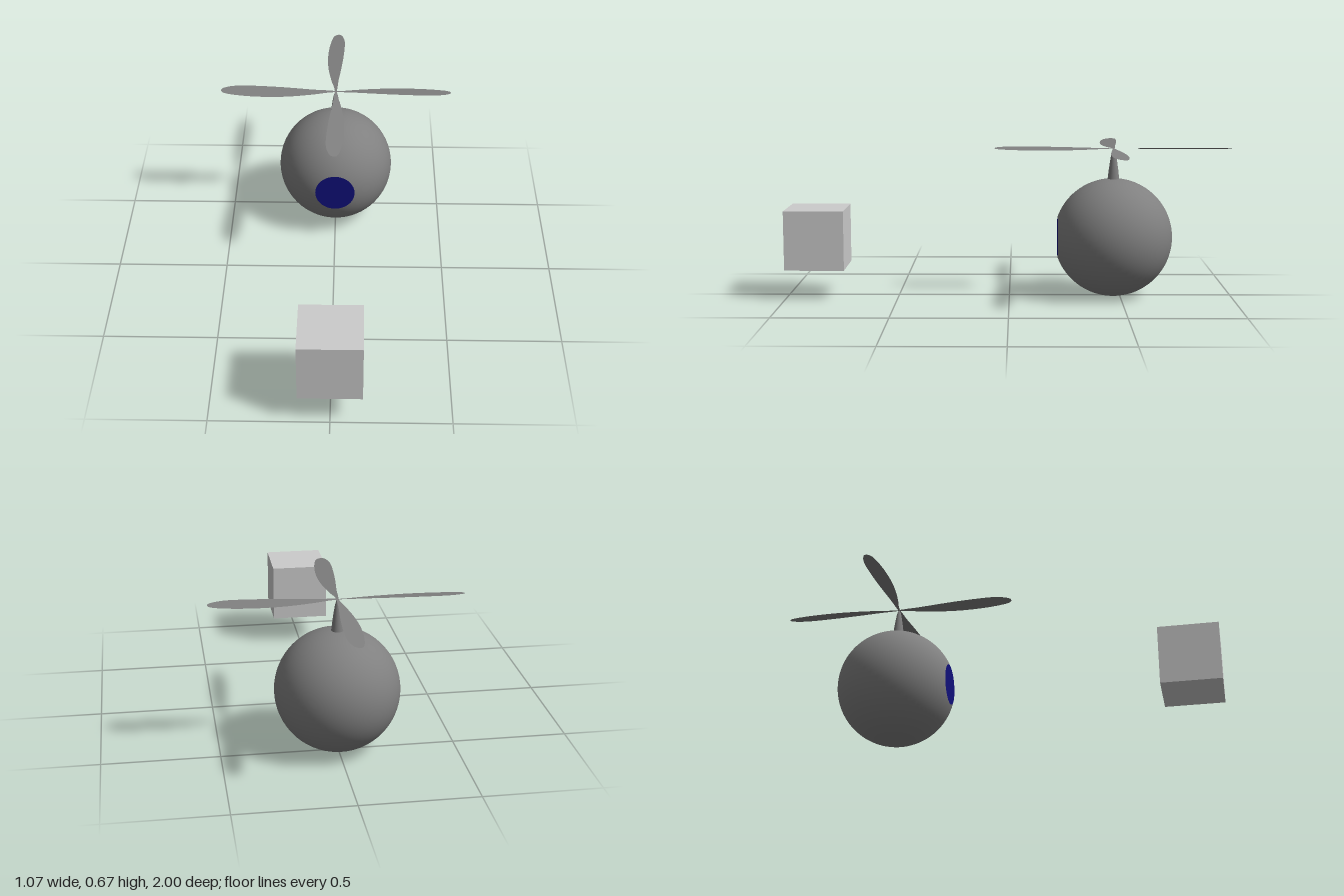
import * as THREE from 'three';

export function createModel() {
  const model = new THREE.Group();
  const R = 0.266, CY = 0.267, CZ = -0.467, EYE_R = 0.092;
  const grey = new THREE.MeshStandardMaterial({ color: 0x808080 });
  const greyThin = new THREE.MeshStandardMaterial({ color: 0x808080, side: THREE.DoubleSide });
  const navy = new THREE.MeshStandardMaterial({ color: 0x10107a });
  const light = new THREE.MeshStandardMaterial({ color: 0xcccccc });

  const add = (parent, name, geometry, material, x = 0, y = 0, z = 0) => {
    const mesh = new THREE.Mesh(geometry, material);
    mesh.name = name;
    mesh.position.set(x, y, z);
    parent.add(mesh);
    return mesh;
  };

  // Round body, sliced flat at the front
  const cut = Math.asin(EYE_R / R);
  const ball = new THREE.SphereGeometry(R, 64, 48, 0, Math.PI * 2, cut, Math.PI - cut);
  ball.rotateX(Math.PI / 2);
  add(model, 'body', ball, grey, 0, CY, CZ);

  // Flat eye closing the slice
  add(model, 'eye', new THREE.CircleGeometry(EYE_R, 64), navy, 0, CY, CZ + R * Math.cos(cut));

  // Tapered mast with a rounded tip
  const mastProfile = [
    [0.027, 0.525], [0.025, 0.54], [0.021, 0.575], [0.016, 0.61],
    [0.011, 0.64], [0.006, 0.66], [0.003, 0.666], [0, 0.668],
  ].map(([r, y]) => new THREE.Vector2(r, y));
  add(model, 'mast', new THREE.LatheGeometry(mastProfile, 32), grey, 0, 0, CZ);

  // Four pitched paddle blades
  const outline = new THREE.Shape();
  outline.moveTo(0, -0.004);
  outline.splineThru([
    [0.04, -0.009], [0.1, -0.022], [0.2, -0.037], [0.3, -0.043], [0.4, -0.039],
    [0.48, -0.028], [0.523, -0.015], [0.534, 0.003], [0.523, 0.02], [0.48, 0.034],
    [0.42, 0.038], [0.3, 0.032], [0.2, 0.023], [0.1, 0.012], [0.04, 0.008], [0, 0.004],
  ].map(([x, z]) => new THREE.Vector2(x, z)));
  const blade = new THREE.ShapeGeometry(outline, 5);
  blade.rotateX(Math.PI / 2 - 0.15);
  const rotor = new THREE.Group();
  rotor.name = 'rotor';
  rotor.position.set(0, 0.668, CZ);
  model.add(rotor);
  for (let i = 0; i < 4; i++) {
    add(rotor, 'blade', blade, greyThin).rotation.y = i * Math.PI / 2;
  }

  // Separate cube floating in front
  add(model, 'cube', new THREE.BoxGeometry(R, R, R), light, 0, CY, 0.867);

  return model;
}
